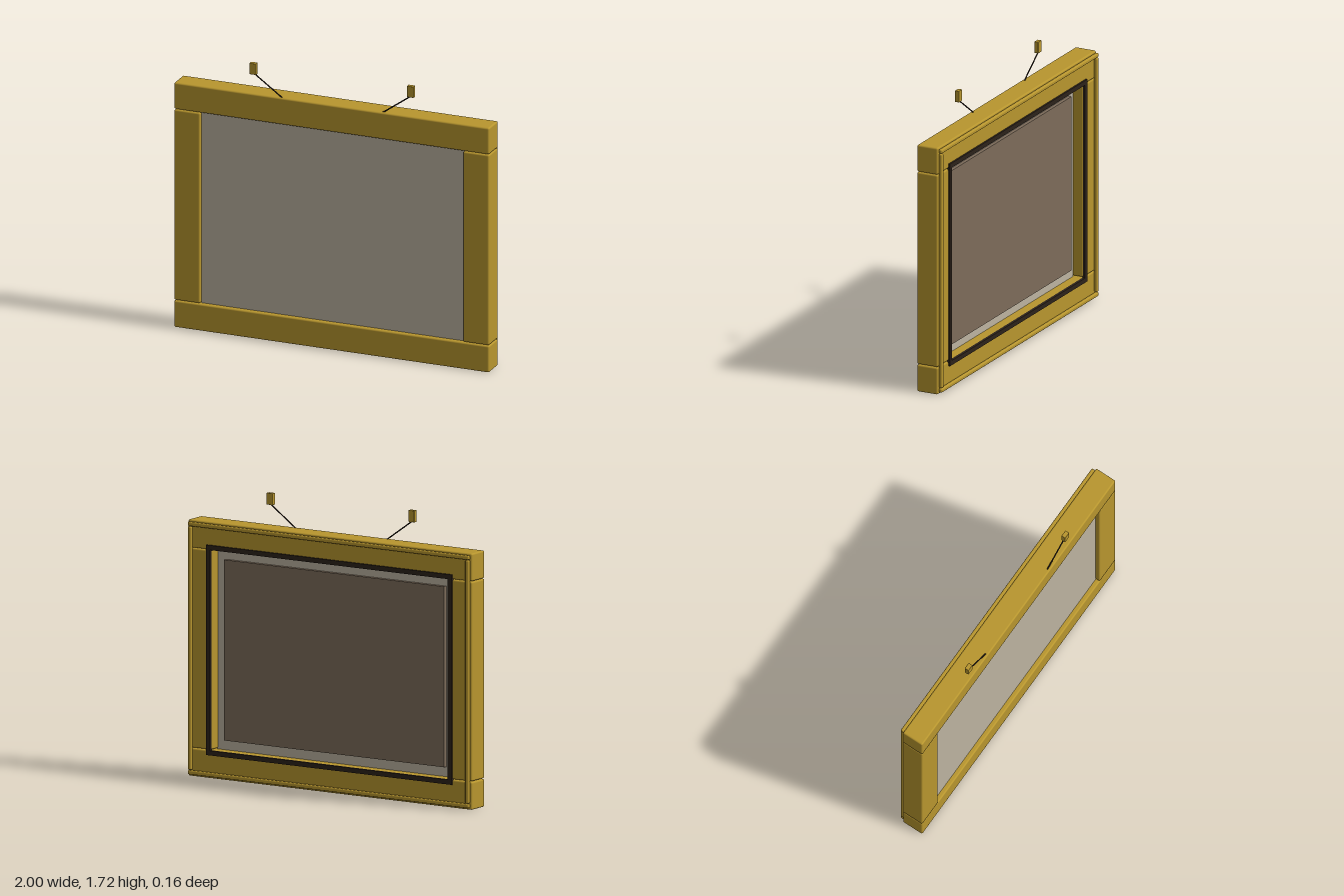
import * as THREE from 'three';
import { RoundedBoxGeometry } from 'three/addons/geometries/RoundedBoxGeometry.js';

const material = (color) => new THREE.MeshStandardMaterial({ color });

export function createModel() {
  const model = new THREE.Group();
  const gold = material(0xb8962e);
  const canvasGrey = material(0xbdb4a1);
  const brown = material(0x7d6c5a);
  const dark = material(0x2c221a);

  // Box given by its [min, max] along each axis; a radius rounds its edges
  function block(name, [x0, x1], [y0, y1], [z0, z1], mat, radius = 0) {
    const size = [x1 - x0, y1 - y0, z1 - z0];
    const geometry = radius
      ? new RoundedBoxGeometry(...size, 3, radius)
      : new THREE.BoxGeometry(...size);
    const mesh = new THREE.Mesh(geometry, mat);
    mesh.name = name;
    mesh.position.set((x0 + x1) / 2, (y0 + y1) / 2, (z0 + z1) / 2);
    model.add(mesh);
    return mesh;
  }
  const mirror = ([a, b], s) => (s > 0 ? [a, b] : [-b, -a]);

  // Main frame: full-width rails, stiles between them
  const depth = [-0.057, 0.08];
  block('bottomRail', [-1, 1], [0, 0.166], depth, gold, 0.01);
  block('topRail', [-1, 1], [1.36, 1.525], depth, gold, 0.01);

  // Thin beading round the back edge
  const beadDepth = [-0.08, -0.057];
  block('bottomBead', [-0.99, 0.99], [0.012, 0.037], beadDepth, gold, 0.008);
  block('topBead', [-0.99, 0.99], [1.49, 1.515], beadDepth, gold, 0.008);

  // Dark lip round the opening at the back
  const lipDepth = [-0.068, -0.05];
  block('bottomLip', [-0.865, 0.865], [0.138, 0.166], lipDepth, dark);
  block('topLip', [-0.865, 0.865], [1.36, 1.388], lipDepth, dark);

  for (const s of [1, -1]) {
    const side = s > 0 ? 'left' : 'right';
    block(side + 'Stile', mirror([0.835, 1], s), [0.17, 1.357], depth, gold, 0.01);
    block(side + 'Bead', mirror([0.965, 0.99], s), [0.04, 1.487], beadDepth, gold, 0.008);
    block(side + 'Lip', mirror([0.837, 0.865], s), [0.166, 1.36], lipDepth, dark);

    // Hanging hook and its wire down to the top rail
    block(side + 'Hook', mirror([0.479, 0.521], s), [1.645, 1.715], [0.053, 0.08], gold, 0.003);
    const path = new THREE.LineCurve3(
      new THREE.Vector3(s * 0.5, 1.65, 0.063),
      new THREE.Vector3(s * 0.31, 1.515, 0.063)
    );
    const wire = new THREE.Mesh(new THREE.TubeGeometry(path, 1, 0.004, 8), dark);
    wire.name = side + 'Wire';
    model.add(wire);
  }

  // Picture panel recessed in the opening, with a smaller backing board
  block('picturePanel', [-0.836, 0.836], [0.164, 1.362], [0.01, 0.052], canvasGrey);
  block('backingBoard', [-0.775, 0.775], [0.225, 1.3], [-0.012, 0.012], brown);

  return model;
}
